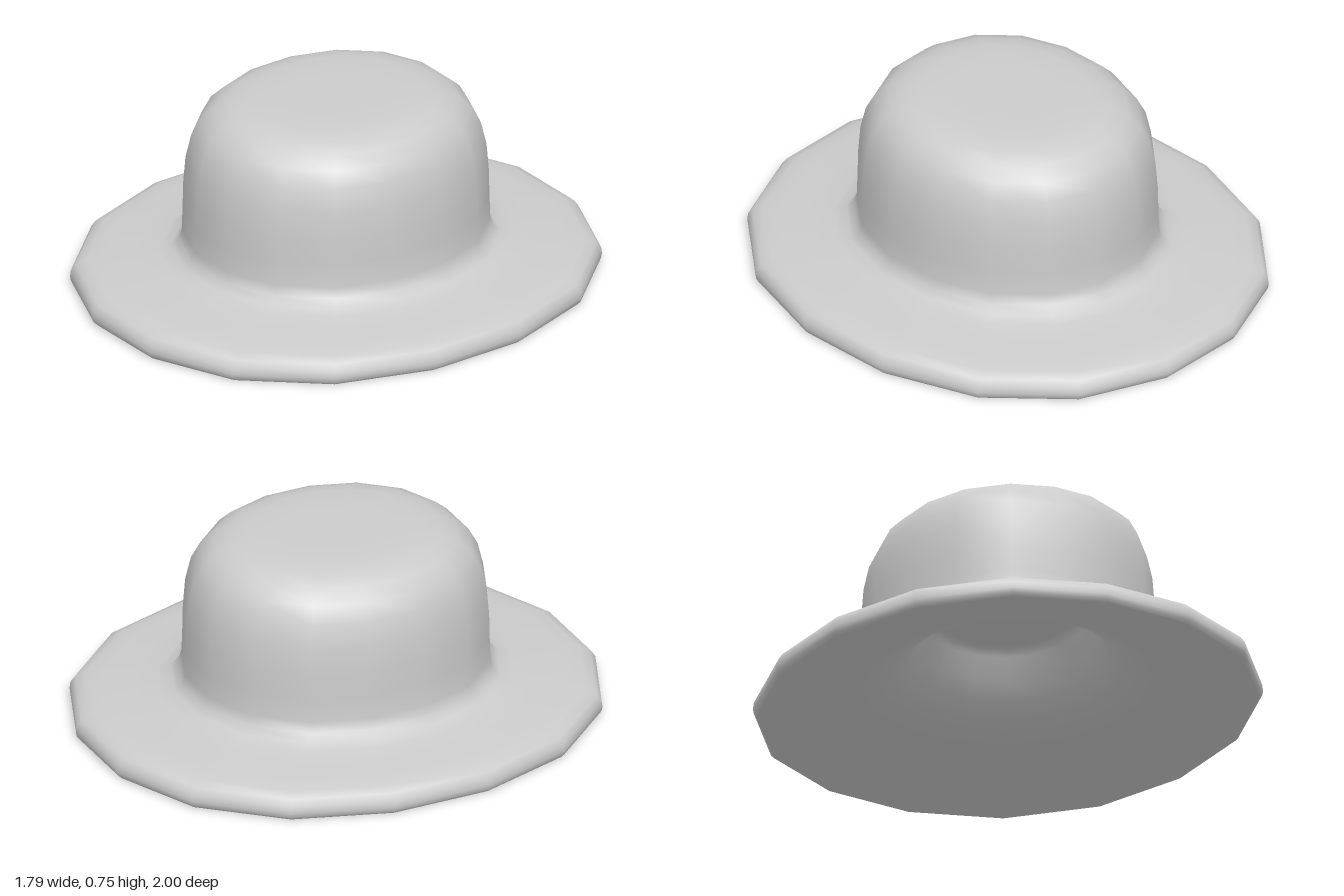
import * as THREE from 'three';
import { mergeVertices } from 'three/addons/utils/BufferGeometryUtils.js';

const SIDES = 16;
const HALF_STEP = Math.PI / SIDES;

// Half-profiles as [radius, height], the radius being measured along z
const lining = [
  [0, 0.38], [0.27, 0.38], [0.295, 0.375], [0.31, 0.35], [0.35, 0.27],
  [0.40, 0.2], [0.47, 0.15], [0.58, 0.1], [0.75, 0.055], [0.9, 0.02], [0.97, 0.002],
];
const brim = [
  [0.985, 0], [0.997, 0.012], [1, 0.03], [0.997, 0.055], [0.98, 0.08], [0.94, 0.097],
  [0.87, 0.106], [0.76, 0.116], [0.67, 0.127], [0.62, 0.143], [0.592, 0.17],
];
const crown = [
  [0.58, 0.21], [0.577, 0.3], [0.575, 0.4], [0.566, 0.51], [0.545, 0.6], [0.51, 0.665],
  [0.46, 0.71], [0.4, 0.735], [0.33, 0.746], [0.22, 0.75], [0, 0.75],
];

// Turn the round lathe into a slightly squared oval, narrower across x
function makeOval(geometry) {
  const p = geometry.attributes.position;
  const zScale = 1 / (Math.cos(HALF_STEP) * (1 + 0.02 * Math.sin(2 * HALF_STEP) ** 2));
  for (let i = 0; i < p.count; i++) {
    const x = p.getX(i), z = p.getZ(i);
    const k = zScale * (1 + 0.02 * Math.sin(2 * Math.atan2(x, z)) ** 2);
    p.setX(i, x * k * 0.894);
    p.setZ(i, z * k);
  }
}

export function createModel() {
  const group = new THREE.Group();
  group.name = 'hat';

  // One closed skin: hollow lining, rolled brim edge, then the crown
  const profile = [...lining, ...brim, ...crown].map(([r, y]) => new THREE.Vector2(r, y));
  let geometry = new THREE.LatheGeometry(profile, SIDES, HALF_STEP);
  makeOval(geometry);

  // Weld the seam so the shading stays smooth all the way round
  geometry.deleteAttribute('uv');
  geometry.deleteAttribute('normal');
  geometry = mergeVertices(geometry, 1e-4);
  geometry.computeVertexNormals();

  const hat = new THREE.Mesh(geometry, new THREE.MeshStandardMaterial({ color: 0xcccccc }));
  hat.name = 'brimAndCrown';
  group.add(hat);
  return group;
}
